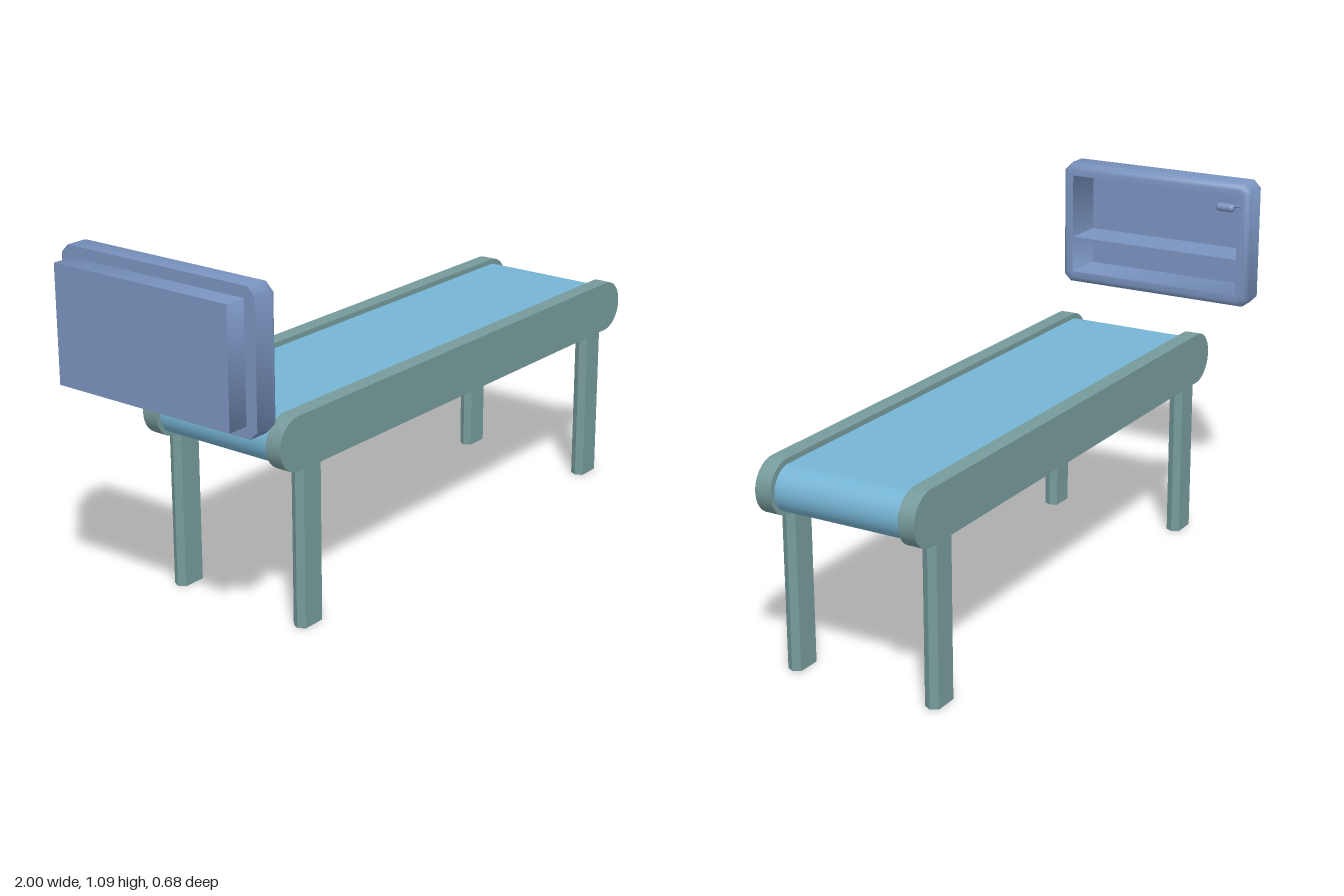
import * as THREE from 'three';
import { toCreasedNormals } from 'three/addons/utils/BufferGeometryUtils.js';

const steel = new THREE.MeshStandardMaterial({ color: 0x769a9a });
const legSteel = new THREE.MeshStandardMaterial({ color: 0x769a9a, side: THREE.DoubleSide, flatShading: true });
const rubber = new THREE.MeshStandardMaterial({ color: 0x76b4d4, side: THREE.DoubleSide });
const enamel = new THREE.MeshStandardMaterial({ color: 0x7a94c0 });

function addMesh(parent, name, geometry, material, x = 0, y = 0, z = 0) {
  const mesh = new THREE.Mesh(geometry, material);
  mesh.name = name;
  mesh.position.set(x, y, z);
  parent.add(mesh);
  return mesh;
}

// Outline with half-round ends, running from the bottom right over the top to the bottom left
function roundEnded(outline, x0, x1, y, r) {
  outline.absarc(x1 - r, y, r, -Math.PI / 2, Math.PI / 2, false);
  outline.absarc(x0 + r, y, r, Math.PI / 2, Math.PI * 1.5, false);
  return outline;
}

// Solid side rail
function railGeometry(z0, z1) {
  const shape = roundEnded(new THREE.Shape(), -0.722, 1, 0.56, 0.08);
  const geo = new THREE.ExtrudeGeometry(shape, { depth: z1 - z0, bevelEnabled: false, curveSegments: 10 });
  geo.translate(0, 0, z0);
  return toCreasedNormals(geo, 0.6);
}

// Thin belt sheet over the top and round both ends, open underneath
function beltGeometry(z0, z1) {
  const points = roundEnded(new THREE.Path(), -0.705, 0.982, 0.557, 0.067).getPoints(16);
  const pos = [], index = [];
  points.forEach((p, i) => {
    pos.push(p.x, p.y, z0, p.x, p.y, z1);
    const a = i * 2;
    if (i < points.length - 1) index.push(a, a + 2, a + 1, a + 1, a + 2, a + 3);
  });
  const geo = new THREE.BufferGeometry();
  geo.setAttribute('position', new THREE.Float32BufferAttribute(pos, 3));
  geo.setIndex(index);
  geo.computeVertexNormals();
  return geo;
}

// Hollow six-sided post, wide in x, with its narrow sides coming to a ridge
function legGeometry(height) {
  const geo = new THREE.CylinderGeometry(1, 1, height, 6, 1, true, Math.PI / 2);
  const p = geo.attributes.position;
  for (let i = 0; i < p.count; i++) {
    const x = p.getX(i);
    p.setX(i, Math.sign(x) * (Math.abs(x) > 0.9 ? 0.048 : 0.036));
    p.setZ(i, p.getZ(i) / 0.866 * 0.022);
  }
  geo.computeVertexNormals();
  return geo;
}

// Skin over corner-cut rectangles [x, half width, half height, corner cut] stacked along x
function loftRectangles(sections) {
  const pos = [], index = [];
  for (const [x, w, h, c] of sections) {
    const loop = [[w, c - h], [w, h - c], [w - c, h], [c - w, h], [-w, h - c], [-w, c - h], [c - w, -h], [w - c, -h]];
    for (const [u, v] of loop) pos.push(x, v, -u);
  }
  for (let i = 0; i < sections.length - 1; i++) {
    for (let j = 0; j < 8; j++) {
      const a = i * 8 + j, b = i * 8 + (j + 1) % 8;
      // A section of zero size closes the skin, so one triangle is enough there
      if (sections[i][1] > 0) index.push(a, b, b + 8);
      if (sections[i + 1][1] > 0) index.push(a, b + 8, a + 8);
    }
  }
  const geo = new THREE.BufferGeometry();
  geo.setAttribute('position', new THREE.Float32BufferAttribute(pos, 3));
  geo.setIndex(index);
  return toCreasedNormals(geo, 0.82);
}

function createConveyor() {
  const conveyor = new THREE.Group();
  conveyor.name = 'conveyor';
  addMesh(conveyor, 'belt', beltGeometry(-0.222, 0.187), rubber);
  for (const [side, z] of [['front', 0.2085], ['back', -0.2435]]) {
    addMesh(conveyor, side + 'SideRail', railGeometry(z - 0.025, z + 0.025), steel);
    for (const [end, x] of [['Right', -0.584], ['Left', 0.855]]) {
      addMesh(conveyor, side + end + 'Leg', legGeometry(0.49), legSteel, x, 0.245, z);
    }
  }
  return conveyor;
}

function createCabinet() {
  const cabinet = new THREE.Group();
  cabinet.name = 'cabinet';
  cabinet.position.set(0, 0.884, 0.002);

  // Rear box, rounded front frame and hollow interior as one skin
  addMesh(cabinet, 'cabinetShell', loftRectangles([
    [-1, 0, 0, 0],
    [-1, 0.303, 0.171, 0.001],
    [-0.935, 0.303, 0.171, 0.001],
    [-0.935, 0.339, 0.204, 0.024],
    [-0.875, 0.339, 0.204, 0.024],
    [-0.862, 0.336, 0.201, 0.023],
    [-0.852, 0.329, 0.194, 0.021],
    [-0.848, 0.318, 0.183, 0.017],
    [-0.848, 0.299, 0.164, 0.001],
    [-0.99, 0.299, 0.164, 0.001],
    [-0.99, 0, 0, 0],
  ]), enamel);

  addMesh(cabinet, 'shelf', new THREE.BoxGeometry(0.138, 0.013, 0.598), enamel, -0.921, -0.052, 0);

  // Small lever with a thin stem fixed to the frame
  const knob = addMesh(cabinet, 'leverKnob', new THREE.CapsuleGeometry(0.014, 0.038, 6, 12), enamel, -0.858, 0.121, -0.253);
  knob.rotation.x = Math.PI / 2;
  const stemPath = new THREE.CatmullRomCurve3([
    new THREE.Vector3(-0.858, 0.121, -0.275),
    new THREE.Vector3(-0.851, 0.13, -0.295),
    new THREE.Vector3(-0.844, 0.132, -0.318),
  ]);
  addMesh(cabinet, 'leverStem', new THREE.TubeGeometry(stemPath, 8, 0.004, 8), enamel);
  return cabinet;
}

export function createModel() {
  const model = new THREE.Group();
  model.name = 'conveyorStation';
  model.add(createConveyor(), createCabinet());
  return model;
}
